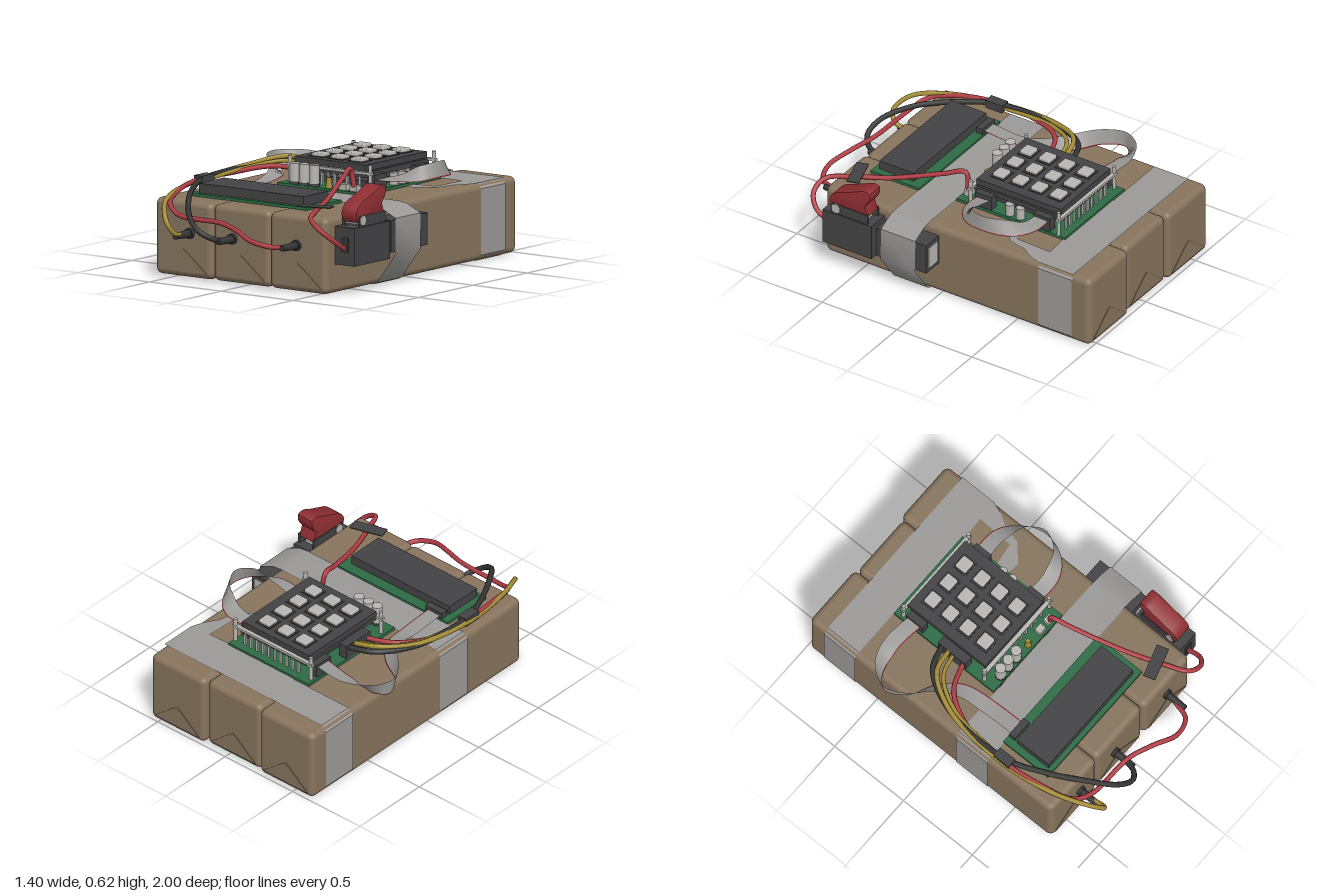
import * as THREE from 'three';
import { toCreasedNormals } from 'three/addons/utils/BufferGeometryUtils.js';
import { RoundedBoxGeometry } from 'three/addons/geometries/RoundedBoxGeometry.js';

const mat = (name, color, side = THREE.FrontSide) => {
  const m = new THREE.MeshStandardMaterial({ color, side });
  m.name = name;
  return m;
};
const V = (p) => new THREE.Vector3(...p);

export function createModel() {
  const root = new THREE.Group();
  root.name = 'prop';
  const paper = mat('brown paper', 0x87745d);
  const tape = mat('grey tape', 0x9b9a98, THREE.DoubleSide);
  const charcoal = mat('charcoal plastic', 0x434345);
  const black = mat('black rubber', 0x353536);
  const coverRed = mat('dark red cover', 0x8f2e32);
  const wireRed = mat('red wire', 0xb03c44, THREE.DoubleSide);
  const green = mat('green board', 0x2f6b45);
  const yellow = mat('yellow wire', 0xa48c35);
  const silver = mat('silver', 0xb9b7b3);

  const add = (name, geo, material, x = 0, y = 0, z = 0) => {
    const m = new THREE.Mesh(geo, material);
    m.name = name;
    m.position.set(x, y, z);
    root.add(m);
    return m;
  };
  // box given by its minimum and maximum on each axis
  const box = (name, material, x0, x1, y0, y1, z0, z1) =>
    add(name, new THREE.BoxGeometry(x1 - x0, y1 - y0, z1 - z0), material,
      (x0 + x1) / 2, (y0 + y1) / 2, (z0 + z1) / 2);
  const rod = (name, material, r0, r1, h, x, y, z) =>
    add(name, new THREE.CylinderGeometry(r1, r0, h, 16), material, x, y, z);
  // band swept along centre points, spanning offsets a..b of each width vector
  const band = (name, material, pts, widths, a = -1, b = 1) => {
    const pos = [], idx = [];
    pts.forEach((p, i) => {
      for (const t of [a, b]) pos.push(...p.clone().addScaledVector(widths[i], t).toArray());
      if (i) idx.push(2 * i - 2, 2 * i, 2 * i - 1, 2 * i, 2 * i + 1, 2 * i - 1);
    });
    const g = new THREE.BufferGeometry();
    g.setAttribute('position', new THREE.Float32BufferAttribute(pos, 3));
    g.setIndex(idx);
    return add(name, toCreasedNormals(g, 0.7), material);
  };
  const wire = (name, material, points, r = 0.014) =>
    add(name, new THREE.TubeGeometry(new THREE.CatmullRomCurve3(points.map(V)), 80, r, 8), material);
  // flat patch outlined in x,z
  const patch = (name, pts, y) => {
    const g = new THREE.ShapeGeometry(new THREE.Shape(pts.map(([x, z]) => new THREE.Vector2(x, -z))));
    g.rotateX(-Math.PI / 2);
    return add(name, g, tape, 0, y, 0);
  };

  // three wrapped blocks with folded paper flaps at both ends
  [[-0.44, -0.99, 0.77], [-0.04, -0.975, 0.765], [0.36, -0.995, 0.772]].forEach(([x, z0, z1]) => {
    add('block', new RoundedBoxGeometry(0.397, 0.432, z1 - z0, 4, 0.035), paper, x, 0.22, (z0 + z1) / 2);
    for (const s of [1, -1]) {
      const flap = new THREE.Shape([[-0.165, 0.035], [0.165, 0.035], [0.03, 0.145], [0, 0.165], [-0.03, 0.145]]
        .map((p) => new THREE.Vector2(...p)));
      const m = add('paperFlap', new THREE.ExtrudeGeometry(flap, { depth: 0.005, bevelEnabled: false }),
        paper, x, 0, (s > 0 ? z1 : z0) - s * 0.001);
      if (s < 0) m.rotation.y = Math.PI;
    }
  });

  // tape wrapped round the blocks, the front one also over the battery box
  const wrap = (name, z, half, side) => {
    const path = [[-0.61, 0.001], [-0.643, 0.035], [-0.643, 0.41], [-0.61, 0.441], ...side, [-0.61, 0.001]];
    band(name, tape, path.map(([x, y]) => V([x, y, z])), path.map(() => V([0, 0, half])));
  };
  wrap('backTape', -0.765, 0.113, [[0.53, 0.441], [0.564, 0.41], [0.564, 0.035], [0.53, 0.001]]);
  wrap('frontTape', 0.195, 0.115, [[0.54, 0.443], [0.6, 0.435], [0.694, 0.39], [0.696, 0.19], [0.565, 0.012], [0.54, 0.001]]);
  patch('tapeOverlap', [[-0.2, -0.85], [0.555, -0.88], [0.555, -0.65], [-0.2, -0.615]], 0.4435);
  patch('tapePatch', [[0.43, -0.65], [0.555, -0.65], [0.53, -0.58], [0.48, -0.5], [0.46, -0.4], [0.36, -0.31], [0.28, -0.32], [0.28, -0.4], [0.42, -0.42]], 0.442);
  patch('undersidePatch', [[-0.22, 0.3], [0.1, 0.3], [0.06, 0.42], [-0.04, 0.4], [-0.1, 0.5], [-0.2, 0.48]], 0.002);

  // main board with capacitors and small components
  box('mainBoard', green, -0.31, 0.285, 0.438, 0.456, -0.65, 0.075);
  for (const x of [-0.21, -0.145, -0.075]) {
    rod('capacitor', silver, 0.03, 0.03, 0.12, x, 0.515, 0.042);
    rod('capacitorBase', charcoal, 0.031, 0.031, 0.015, x, 0.463, 0.042);
  }
  rod('yellowBead', yellow, 0.02, 0.014, 0.06, 0.028, 0.485, 0.042);
  for (const x of [0.135, 0.21]) box('terminal', silver, x - 0.025, x + 0.025, 0.455, 0.49, 0.02, 0.06);
  for (const z of [-0.33, -0.26]) rod('sideCapacitor', silver, 0.025, 0.025, 0.07, 0.252, 0.49, z);
  box('leftSocket', charcoal, -0.3, -0.255, 0.456, 0.535, -0.57, -0.45);
  box('wireSocket', charcoal, -0.31, -0.255, 0.456, 0.54, -0.33, -0.13);
  for (const z of [-0.49, -0.1]) box('rightSocket', charcoal, 0.23, 0.28, 0.456, 0.54, z - 0.055, z + 0.055);
  box('chip', charcoal, -0.2, 0.18, 0.456, 0.49, -0.5, -0.1);

  // keypad raised on posts
  box('keypadBoard', charcoal, -0.25, 0.24, 0.525, 0.555, -0.6, -0.01);
  box('keypadBody', charcoal, -0.262, 0.235, 0.56, 0.596, -0.59, -0.025);
  for (const z of [-0.6, -0.012]) {
    box('rail', silver, -0.3, 0.29, 0.545, 0.56, z - 0.012, z + 0.012);
    for (const x of [-0.285, 0.275]) rod('post', silver, 0.011, 0.011, 0.15, x, 0.527, z);
    for (let i = 0; i < 10; i++) {
      const x = -0.2 + i * 0.044;
      box('pin', silver, x, x + 0.014, 0.456, 0.53, z - 0.006, z + 0.006);
    }
  }
  for (const x of [-0.15, -0.015, 0.122]) for (const z of [-0.5, -0.372, -0.245, -0.118]) {
    box('keyRim', black, x - 0.052, x + 0.052, 0.594, 0.599, z - 0.048, z + 0.048);
    add('key', new RoundedBoxGeometry(0.08, 0.04, 0.074, 2, 0.008), silver, x, 0.597, z);
  }

  // display
  box('displayBoard', green, -0.5, 0.315, 0.438, 0.454, 0.305, 0.63);
  box('display', charcoal, -0.458, 0.272, 0.454, 0.508, 0.37, 0.6);
  box('displaySocket', charcoal, -0.455, -0.33, 0.454, 0.49, 0.31, 0.352);

  // ribbon cables with a red edge
  const ribbon = (name, points, dirs) => {
    const pts = new THREE.CatmullRomCurve3(points.map(V)).getPoints(48);
    const dirCurve = new THREE.CatmullRomCurve3(dirs.map(V));
    const ws = pts.map((p, i) => dirCurve.getPoint(i / 48).normalize().multiplyScalar(0.046));
    band(name, tape, pts, ws, -1, 0.86);
    band(name + 'Edge', wireRed, pts, ws, 0.86, 1);
  };
  ribbon('leftRibbon',
    [[-0.27, 0.52, -0.51], [-0.48, 0.51, -0.53], [-0.63, 0.49, -0.49], [-0.695, 0.485, -0.4], [-0.64, 0.485, -0.28],
      [-0.5, 0.485, -0.17], [-0.42, 0.475, -0.05], [-0.395, 0.455, 0.1], [-0.393, 0.47, 0.33]],
    [[0, 0, 1], [0, -0.2, 1], [0.2, -0.9, 0.5], [0.1, -1, 0], [0.2, -1, -0.1], [0.5, -0.7, -0.5], [0.9, -0.2, -0.4], [1, 0, 0], [1, 0, 0]]);
  ribbon('rightRibbon',
    [[0.26, 0.52, -0.49], [0.4, 0.53, -0.48], [0.52, 0.56, -0.4], [0.568, 0.575, -0.28], [0.52, 0.56, -0.16], [0.4, 0.53, -0.1], [0.26, 0.51, -0.1]],
    [[0, 0, -1], [0.2, -0.3, -1], [0.3, -0.9, -0.3], [0.1, -1, 0], [0.3, -0.9, 0.3], [0.2, -0.3, 1], [0, 0, 1]]);

  // wires running to the block ends
  wire('yellowWire', yellow, [[-0.28, 0.52, -0.26], [-0.45, 0.55, -0.22], [-0.57, 0.52, -0.02], [-0.61, 0.485, 0.37],
    [-0.56, 0.46, 0.7], [-0.48, 0.42, 0.89], [-0.41, 0.34, 0.96], [-0.385, 0.28, 0.93], [-0.39, 0.256, 0.85]]);
  wire('yellowWireTwin', yellow, [[-0.28, 0.51, -0.23], [-0.44, 0.53, -0.18], [-0.55, 0.51, 0], [-0.59, 0.48, 0.37]], 0.012);
  wire('blackWire', black, [[-0.28, 0.52, -0.31], [-0.45, 0.53, -0.25], [-0.57, 0.51, -0.02], [-0.585, 0.495, 0.38],
    [-0.5, 0.475, 0.6], [-0.38, 0.44, 0.8], [-0.26, 0.37, 0.94], [-0.17, 0.31, 0.97], [-0.11, 0.27, 0.92], [-0.095, 0.256, 0.85]], 0.016);
  wire('redWire', wireRed, [[-0.28, 0.5, -0.16], [-0.47, 0.51, -0.08], [-0.585, 0.49, 0.15], [-0.6, 0.49, 0.4], [-0.57, 0.47, 0.62],
    [-0.51, 0.42, 0.8], [-0.4, 0.37, 0.86], [-0.1, 0.36, 0.88], [0.05, 0.34, 0.93], [0.2, 0.3, 0.985], [0.31, 0.275, 0.95], [0.345, 0.265, 0.85]]);
  wire('switchWire', wireRed, [[0.21, 0.48, 0.05], [0.2, 0.585, 0.07], [0.24, 0.55, 0.2], [0.34, 0.475, 0.48], [0.42, 0.455, 0.68],
    [0.49, 0.43, 0.82], [0.57, 0.38, 0.84], [0.625, 0.32, 0.79], [0.632, 0.26, 0.69]]);
  box('cableTie', charcoal, -0.615, -0.555, 0.465, 0.515, 0.33, 0.44);
  box('wireTape', charcoal, -0.1, 0.1, -0.003, 0.003, -0.036, 0.036).position.set(0.4, 0.475, 0.66);
  root.children[root.children.length - 1].rotation.y = 0.3;
  for (const [x, y] of [[-0.39, 0.256], [-0.092, 0.256], [0.355, 0.266]]) {
    rod('plug', black, 0.024, 0.017, 0.14, x, y, 0.84).rotation.x = Math.PI / 2;
    rod('plugCollar', black, 0.03, 0.03, 0.02, x, y, 0.78).rotation.x = Math.PI / 2;
  }

  // battery box and switch box on the left side
  box('batteryBox', charcoal, 0.56, 0.69, 0.2, 0.382, 0.01, 0.345);
  box('batteryEnd', silver, 0.58, 0.67, 0.225, 0.358, 0.004, 0.011);
  rod('boxLink', silver, 0.03, 0.03, 0.04, 0.625, 0.29, 0.355).rotation.x = Math.PI / 2;
  box('switchBox', charcoal, 0.562, 0.7, 0.17, 0.385, 0.37, 0.695);
  box('wireInlet', black, 0.607, 0.657, 0.24, 0.33, 0.694, 0.7);
  box('switchBase', silver, 0.595, 0.665, 0.385, 0.415, 0.43, 0.6);
  for (const x of [0.575, 0.681]) box('bracket', charcoal, x, x + 0.012, 0.385, 0.445, 0.4, 0.64);
  rod('hinge', silver, 0.028, 0.028, 0.128, 0.634, 0.418, 0.61).rotation.z = Math.PI / 2;

  // guard cover over the switch
  const guard = new THREE.Shape();
  guard.moveTo(0.64, 0.415);
  guard.quadraticCurveTo(0.68, 0.47, 0.61, 0.515);
  guard.lineTo(0.475, 0.567);
  guard.quadraticCurveTo(0.43, 0.6, 0.395, 0.58);
  guard.quadraticCurveTo(0.385, 0.54, 0.43, 0.495);
  guard.lineTo(0.41, 0.435);
  guard.lineTo(0.46, 0.42);
  const guardGeo = new THREE.ExtrudeGeometry(guard, { depth: 0.094, bevelThickness: 0.007, bevelSize: 0.006, bevelSegments: 2 });
  guardGeo.rotateY(-Math.PI / 2);
  add('switchGuard', toCreasedNormals(guardGeo, 0.6), coverRed, 0.681, 0, 0);

  return root;
}
